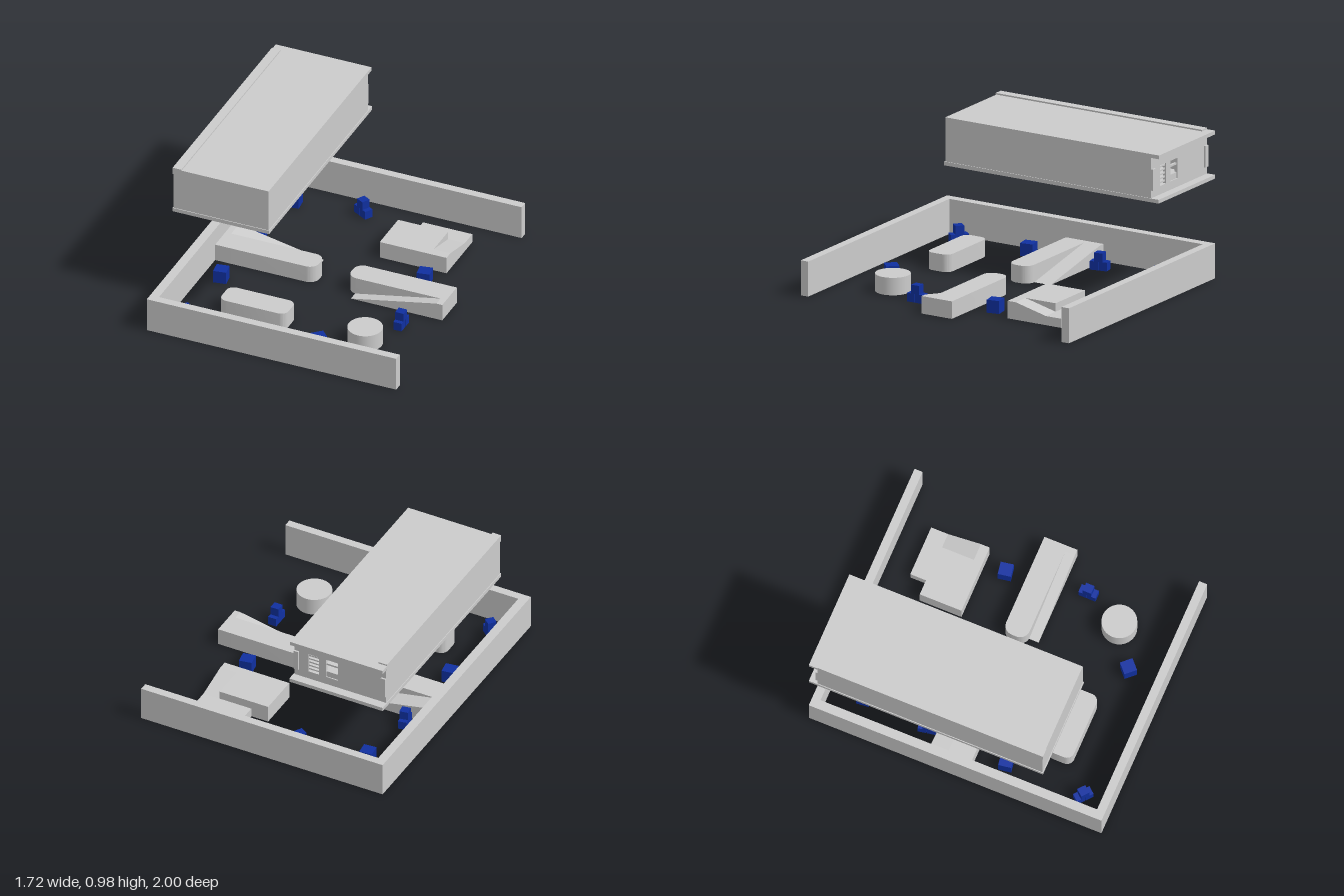
import * as THREE from 'three';
import { toCreasedNormals } from 'three/addons/utils/BufferGeometryUtils.js';

const grey = new THREE.MeshStandardMaterial({ color: 0xcccccc });
const blue = new THREE.MeshStandardMaterial({ color: 0x1030a0 });

function add(parent, name, geometry, material = grey) {
  const mesh = new THREE.Mesh(geometry, material);
  mesh.name = name;
  parent.add(mesh);
  return mesh;
}

// Box given by its extents
function box(parent, name, x0, x1, y0, y1, z0, z1) {
  const mesh = add(parent, name, new THREE.BoxGeometry(x1 - x0, y1 - y0, z1 - z0));
  mesh.position.set((x0 + x1) / 2, (y0 + y1) / 2, (z0 + z1) / 2);
  return mesh;
}

// Upright block whose left (x0) and right (x1) plan corners are rounded
function roundedBlock(parent, name, x0, x1, z0, z1, h, r0, r1) {
  const s = new THREE.Shape();
  const a = -z1, b = -z0, q = Math.PI / 2;
  s.moveTo(x0 + r0, a);
  s.lineTo(x1 - r1, a);
  if (r1) s.absarc(x1 - r1, a + r1, r1, -q, 0);
  s.lineTo(x1, b - r1);
  if (r1) s.absarc(x1 - r1, b - r1, r1, 0, q);
  s.lineTo(x0 + r0, b);
  if (r0) s.absarc(x0 + r0, b - r0, r0, q, 2 * q);
  s.lineTo(x0, a + r0);
  if (r0) s.absarc(x0 + r0, a + r0, r0, 2 * q, 3 * q);
  const g = new THREE.ExtrudeGeometry(s, { depth: h, bevelEnabled: false, curveSegments: 12 });
  g.rotateX(-q);
  return add(parent, name, toCreasedNormals(g, 0.6));
}

// Side profile pushed along z
function prism(points, depth) {
  const s = new THREE.Shape(points.map(([x, y]) => new THREE.Vector2(x, y)));
  return new THREE.ExtrudeGeometry(s, { depth, bevelEnabled: false });
}

function rectHole(x0, x1, y0, y1) {
  return new THREE.Path([[x0, y0], [x0, y1], [x1, y1], [x1, y0]].map(([x, y]) => new THREE.Vector2(x, y)));
}

function perimeter() {
  const g = new THREE.Group();
  g.name = 'perimeterWalls';
  box(g, 'backWall', -0.86, 0.86, 0, 0.23, -1, -0.945);
  box(g, 'frontWall', -0.86, 0.86, 0, 0.23, 0.945, 1);
  box(g, 'sideWall', -0.86, -0.8, 0, 0.23, -0.945, 0.945);
  return g;
}

function building() {
  const g = new THREE.Group();
  g.name = 'raisedBuilding';
  // Floor, shell and roof
  box(g, 'floorSlab', -0.86, -0.195, 0.655, 0.68, -1, 0.6);
  box(g, 'outerSideWall', -0.855, -0.825, 0.68, 0.945, -0.92, 0.595);
  box(g, 'innerSideWall', -0.23, -0.2, 0.68, 0.945, -0.92, 0.595);
  box(g, 'frontEndWall', -0.825, -0.23, 0.68, 0.945, 0.565, 0.595);
  box(g, 'roofSlab', -0.86, -0.2, 0.945, 0.97, -1, 0.595);
  box(g, 'roofParapet', -0.86, -0.8, 0.935, 0.98, -0.94, 0.6);

  // Back end wall with two window openings
  const s = new THREE.Shape([[-0.855, 0.68], [-0.2, 0.68], [-0.2, 0.945], [-0.855, 0.945]]
    .map(([x, y]) => new THREE.Vector2(x, y)));
  const windows = [[-0.375, -0.3], [-0.51, -0.425]];
  windows.forEach(([a, b]) => s.holes.push(rectHole(a, b, 0.735, 0.87)));
  add(g, 'backEndWall', new THREE.ExtrudeGeometry(s, { depth: 0.025, bevelEnabled: false })).position.z = -0.942;

  // Slatted window, and a window with a crossbar and a low pane
  for (let i = 0; i < 5; i++) {
    const y = 0.748 + i * 0.026;
    box(g, 'windowSlat', -0.375, -0.3, y, y + 0.01, -0.935, -0.92);
  }
  box(g, 'windowCrossbar', -0.51, -0.425, 0.825, 0.837, -0.935, -0.92);
  box(g, 'windowPane', -0.51, -0.425, 0.735, 0.775, -0.935, -0.92);

  // Short upright strips at both ends of the back wall
  box(g, 'endStrip', -0.235, -0.2, 0.73, 0.87, -0.955, -0.942);
  box(g, 'endStrip', -0.855, -0.82, 0.73, 0.87, -0.955, -0.942);
  return g;
}

function obstacles() {
  const g = new THREE.Group();
  g.name = 'obstacles';
  const h = 0.115;

  const drum = add(g, 'roundBlock', new THREE.CylinderGeometry(0.113, 0.113, h, 48));
  drum.position.set(0.455, h / 2, 0.57);
  roundedBlock(g, 'roundedBlock', -0.52, -0.06, 0.48, 0.65, h, 0.05, 0.05);

  // Two long barriers, each with a ramp along one side
  roundedBlock(g, 'barrier', 0.11, 0.795, -0.085, 0.075, h, 0.065, 0);
  add(g, 'barrierRamp', prism([[0.165, 0], [0.795, 0], [0.795, h], [0.755, h]], 0.065)).position.z = 0.075;
  roundedBlock(g, 'barrier', -0.8, -0.11, -0.085, 0.075, h, 0, 0.065);
  add(g, 'barrierRamp', prism([[-0.175, 0], [-0.76, h], [-0.8, h], [-0.8, 0]], 0.12)).position.z = -0.205;

  // Stepped platform: high deck, low deck and the slope joining them
  box(g, 'highDeck', 0.135, 0.48, 0, h, -0.66, -0.375);
  box(g, 'lowDeck', 0.255, 0.595, 0, 0.06, -0.775, -0.66);
  const slope = prism([[-0.66, 0], [-0.375, 0], [-0.375, h], [-0.435, h], [-0.66, 0.06]], 0.115);
  slope.rotateY(-Math.PI / 2);
  add(g, 'deckSlope', slope).position.x = 0.595;
  return g;
}

// Three small cubes, two below and one on top
function cubeStack(x, z, turn) {
  const g = new THREE.Group();
  g.name = 'cubeStack';
  const e = 0.057;
  [[-0.03, e / 2], [0.03, e / 2], [0, e * 1.5]].forEach(([px, py]) =>
    add(g, 'smallCube', new THREE.BoxGeometry(e, e, e), blue).position.set(px, py, 0));
  g.position.set(x, 0, z);
  g.rotation.y = turn;
  return g;
}

export function createModel() {
  const model = new THREE.Group();
  model.name = 'walledCourse';
  model.add(perimeter(), building(), obstacles());

  // Loose blue cubes and stacks
  [[-0.165, -0.795, -0.52], [0.585, 0.305, Math.PI / 2], [-0.68, 0.8, -0.7], [-0.64, -0.28, 1.75]]
    .forEach((p) => model.add(cubeStack(...p)));
  [[0.51, -0.23, 0.17], [0.21, 0.735, 0.75], [-0.61, -0.725, 0.1], [-0.67, 0.27, 0.15]].forEach(([x, z, turn]) => {
    const cube = add(model, 'largeCube', new THREE.BoxGeometry(0.085, 0.085, 0.085), blue);
    cube.position.set(x, 0.0425, z);
    cube.rotation.y = turn;
  });
  return model;
}
